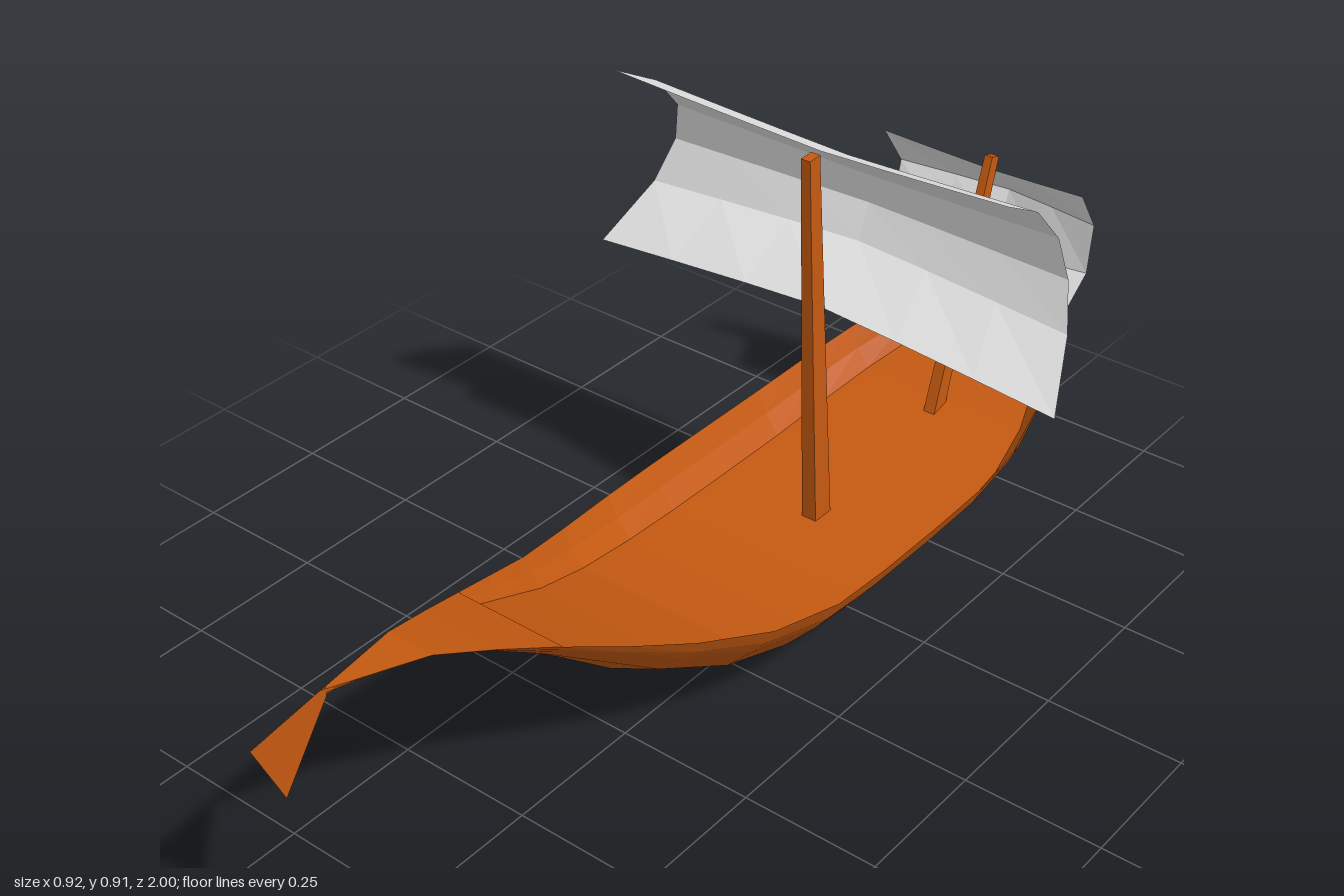
import * as THREE from 'three';

const wood = new THREE.MeshStandardMaterial({ color: 0xc55a11, side: THREE.DoubleSide });
wood.name = 'wood';
const canvas = new THREE.MeshStandardMaterial({ color: 0xe4e4e4, side: THREE.DoubleSide });
canvas.name = 'sailCloth';

// Faceted surface through rows of points
function loft(name, rows, material) {
  const pos = [];
  for (let i = 0; i < rows.length - 1; i++) {
    for (let j = 0; j < rows[i].length - 1; j++) {
      const a = rows[i][j], b = rows[i + 1][j], c = rows[i + 1][j + 1], d = rows[i][j + 1];
      pos.push(...a, ...b, ...c, ...a, ...c, ...d);
    }
  }
  const g = new THREE.BufferGeometry();
  g.setAttribute('position', new THREE.Float32BufferAttribute(pos, 3));
  g.computeVertexNormals();
  const mesh = new THREE.Mesh(g, material);
  mesh.name = name;
  return mesh;
}

// Hull stations: z, half width, rim height, keel height
const stations = [
  [0.87, 0, 0.495, 0.485], [0.7, 0.043, 0.47, 0.455], [0.6, 0.073, 0.432, 0.405],
  [0.5, 0.105, 0.39, 0.335], [0.4, 0.14, 0.345, 0.255], [0.28, 0.178, 0.295, 0.155],
  [0.14, 0.22, 0.252, 0.07], [0, 0.243, 0.232, 0.02], [-0.12, 0.247, 0.23, 0.002],
  [-0.28, 0.247, 0.23, 0], [-0.42, 0.245, 0.232, 0.002], [-0.55, 0.234, 0.245, 0.02],
  [-0.66, 0.208, 0.27, 0.045], [-0.76, 0.165, 0.3, 0.085], [-0.85, 0.11, 0.333, 0.135],
  [-0.93, 0.055, 0.365, 0.205], [-1, 0, 0.4, 0.28],
];

// Half cross-section: fraction of width, fraction of height
const section = [[1, 1], [0.92, 0.82], [0.81, 0.66], [0.57, 0.36], [0, 0]];
const fullSection = [...section, ...section.slice(0, 4).reverse().map(([x, y]) => [-x, y])];

function hullRow([z, w, top, keel]) {
  return fullSection.map(([u, v]) => {
    const rake = z === -1 ? 0.015 * (1 - v) : 0; // sternpost leans back
    return [u * w, keel + v * (top - keel), z + rake];
  });
}

// Straight row across the hull at a given width and height fraction
function acrossRow([z, w, top, keel], u, v) {
  const y = keel + v * (top - keel);
  return [[-u * w, y, z], [0, y, z], [u * w, y, z]];
}

// Tapered four-sided spar between two points
function mast(name, base, top, rBase, rTop) {
  const a = new THREE.Vector3(...base), b = new THREE.Vector3(...top);
  const g = new THREE.CylinderGeometry(rTop, rBase, a.distanceTo(b), 4).toNonIndexed();
  g.rotateY(Math.PI / 4);
  g.computeVertexNormals();
  g.scale(0.75, 1, 1.1);
  const mesh = new THREE.Mesh(g, wood);
  mesh.name = name;
  mesh.position.copy(a).add(b).multiplyScalar(0.5);
  mesh.quaternion.setFromUnitVectors(new THREE.Vector3(0, 1, 0), b.sub(a).normalize());
  return mesh;
}

// Sail from matching edge [x, y, z] and centre [y, z] profiles
function sail(name, edge, centre, steps) {
  const rows = edge.map(([x, y, z], i) => {
    const [cy, cz] = centre[i], row = [];
    for (let k = -steps; k <= steps; k++) {
      const t = Math.abs(k) / steps, s = Math.pow(t, 1.15);
      row.push([x * k / steps, cy + (y - cy) * s, cz + (z - cz) * s]);
    }
    return row;
  });
  return loft(name, rows, canvas);
}

export function createModel() {
  const ship = new THREE.Group();
  ship.name = 'sailingBoat';

  // Hull, sunken deck and covered bow
  ship.add(loft('hull', stations.map(hullRow), wood));
  ship.add(loft('deck', stations.slice(3).map(s => acrossRow(s, 0.81, 0.66)).reverse(), wood));
  ship.add(loft('foredeck', stations.slice(0, 4).map(s => acrossRow(s, 1, 1)).reverse(), wood));

  // Flat prow ornament standing on the centre line
  const prow = loft('prowBlade', [
    [[0, 0.497, 0.86], [0, 0.48, 0.86]],
    [[0, 0.475, 1], [0, 0.357, 0.95]],
  ], wood);
  ship.add(prow);

  // Masts
  ship.add(mast('mainMast', [0, 0.14, -0.271], [0, 0.86, -0.229], 0.028, 0.017));
  ship.add(mast('rearMast', [0, 0.17, -0.63], [0, 0.645, -0.775], 0.022, 0.015));

  // Sails
  ship.add(sail('mainSail',
    [[0.382, 0.91, -0.2], [0.374, 0.857, -0.3], [0.379, 0.787, -0.362],
      [0.395, 0.713, -0.375], [0.419, 0.636, -0.345], [0.461, 0.544, -0.252]],
    [[0.86, -0.255], [0.824, -0.33], [0.767, -0.385],
      [0.71, -0.396], [0.649, -0.37], [0.571, -0.265]], 3));
  ship.add(sail('rearSail',
    [[0.207, 0.645, -0.74], [0.205, 0.565, -0.795], [0.208, 0.478, -0.778], [0.209, 0.419, -0.698]],
    [[0.618, -0.775], [0.55, -0.843], [0.445, -0.805], [0.392, -0.732]], 2));

  return ship;
}
